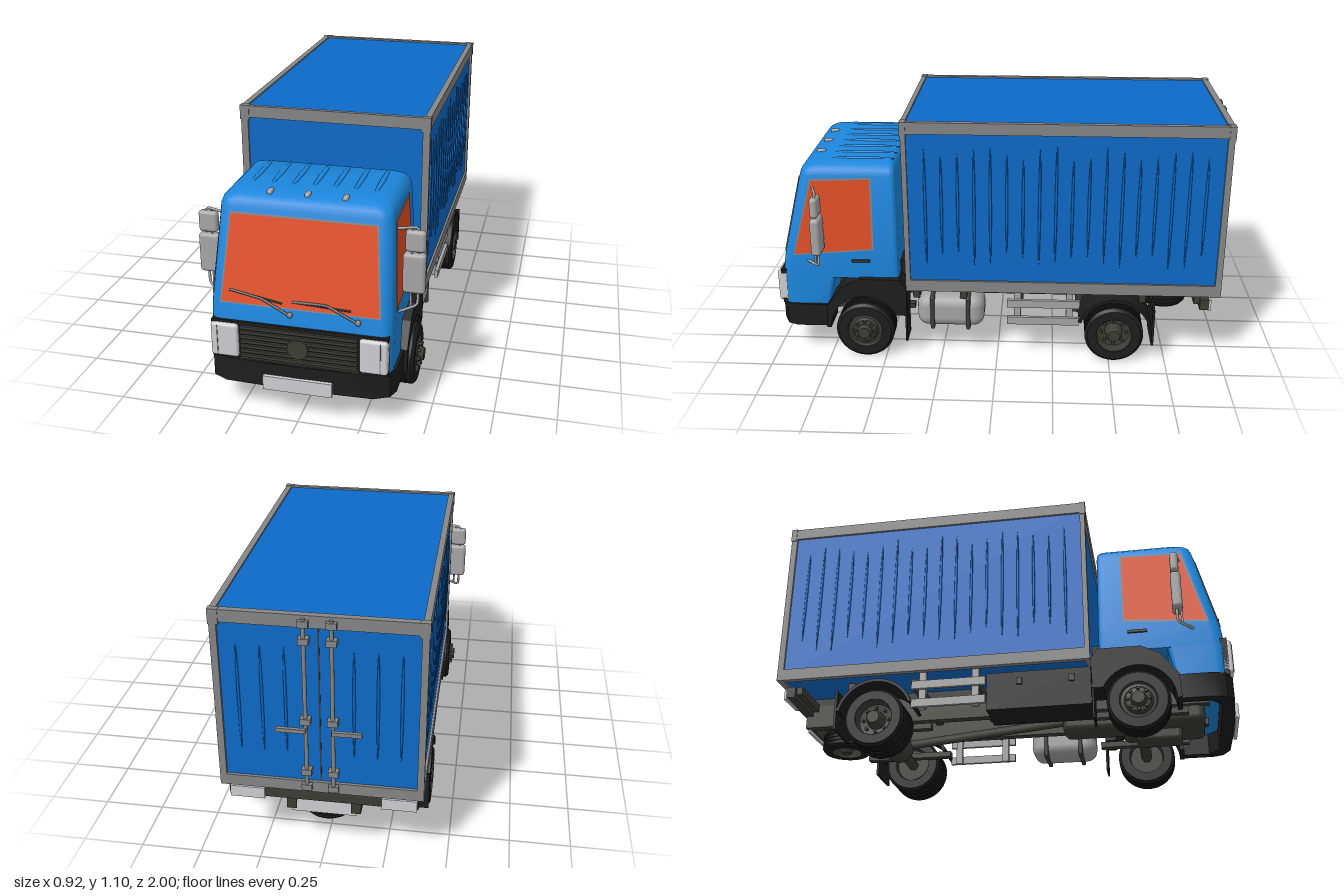
import * as THREE from 'three';
import { toCreasedNormals } from 'three/addons/utils/BufferGeometryUtils.js';
import { RoundedBoxGeometry } from 'three/addons/geometries/RoundedBoxGeometry.js';

export function createModel() {
  const truck = new THREE.Group();
  truck.name = 'boxTruck';
  const material = (name, color, side = THREE.FrontSide) => {
    const m = new THREE.MeshStandardMaterial({ color, side });
    m.name = name;
    return m;
  };
  const cabBlue = material('cabBlue', 0x1c86dc);
  const boxBlue = material('boxBlue', 0x0d6ac8);
  const glass = material('orangeGlass', 0xe04e26, THREE.DoubleSide);
  const grey = material('frameGrey', 0x868686, THREE.DoubleSide);
  const light = material('lightGrey', 0xa6a6a6);
  const white = material('lampWhite', 0xcfcfd2);
  const black = material('plasticBlack', 0x1d1d1d, THREE.DoubleSide);
  const dark = material('chassisDark', 0x3c3d36);

  const add = (name, geo, mat, parent = truck) => {
    const mesh = new THREE.Mesh(geo, mat);
    mesh.name = name;
    parent.add(mesh);
    return mesh;
  };
  // Box given by its extents on each axis
  const bar = (name, mat, x0, x1, y0, y1, z0, z1) => {
    const g = new THREE.BoxGeometry(Math.abs(x1 - x0), Math.abs(y1 - y0), Math.abs(z1 - z0));
    return add(name, g.translate((x0 + x1) / 2, (y0 + y1) / 2, (z0 + z1) / 2), mat);
  };
  const rounded = (name, mat, x0, x1, y0, y1, z0, z1, r) => {
    const g = new RoundedBoxGeometry(Math.abs(x1 - x0), y1 - y0, z1 - z0, 3, r);
    return add(name, g.translate((x0 + x1) / 2, (y0 + y1) / 2, (z0 + z1) / 2), mat);
  };
  const tube = (name, mat, pts, r) => add(name, new THREE.TubeGeometry(
    new THREE.CatmullRomCurve3(pts.map(p => new THREE.Vector3(...p)), false, 'catmullrom', 0.15), 30, r, 6), mat);
  // Slim pressed rib
  const rib = (name, mat, x, y, z, sx, sy, sz) =>
    add(name, new THREE.SphereGeometry(1, 8, 10).scale(sx, sy, sz).translate(x, y, z), mat);
  const plate = (name, mat, p) => {
    const g = new THREE.BufferGeometry();
    g.setAttribute('position', new THREE.Float32BufferAttribute(p.flat(), 3));
    g.setIndex([0, 1, 2, 0, 2, 3]);
    g.computeVertexNormals();
    return add(name, g, mat);
  };
  // Side profile in (z, y), extruded from x1 inwards to x0
  const sideExtrude = (name, mat, shape, x0, x1) => {
    const g = new THREE.ExtrudeGeometry(shape, { depth: x1 - x0, bevelEnabled: false, curveSegments: 20 });
    return add(name, g.rotateY(-Math.PI / 2).translate(x1, 0, 0), mat);
  };
  // Stack of rounded rectangles: [y, front z, back z, half width]
  const loft = (name, mat, sections) => {
    const pos = [], idx = [], n = 5, ring = 4 * (n + 1);
    const signs = [[-1, 1], [1, 1], [1, -1], [-1, -1]];
    for (const [y, zf, zb, hw] of sections) signs.forEach(([sx, sz], c) => {
      const rx = sz > 0 ? 0.045 : 0.02, rz = sz > 0 ? 0.05 : 0.02;
      for (let k = 0; k <= n; k++) {
        const t = Math.PI - (c + k / n) * Math.PI / 2;
        pos.push(sx * (hw - rx) + rx * Math.cos(t), y, (sz > 0 ? zf - rz : zb + rz) + rz * Math.sin(t));
      }
    });
    for (let i = 0; i < sections.length - 1; i++) for (let j = 0; j < ring; j++) {
      const a = i * ring + j, b = i * ring + (j + 1) % ring;
      idx.push(a, b, b + ring, a, b + ring, a + ring);
    }
    const top = (sections.length - 1) * ring;
    for (let j = 1; j < ring - 1; j++) idx.push(0, j + 1, j, top, top + j, top + j + 1);
    const g = new THREE.BufferGeometry();
    g.setAttribute('position', new THREE.Float32BufferAttribute(pos, 3));
    g.setIndex(idx);
    return add(name, toCreasedNormals(g, 0.6), mat);
  };

  // Cab shell and lower nose
  loft('cab', cabBlue, [[0.37, 0.957, 0.435, 0.366], [0.46, 0.945, 0.435, 0.366], [0.84, 0.855, 0.44, 0.343],
    [0.865, 0.845, 0.443, 0.334], [0.882, 0.82, 0.452, 0.314], [0.892, 0.77, 0.468, 0.285]]);
  loft('cabNose', cabBlue, [[0.23, 0.96, 0.75, 0.366], [0.372, 0.957, 0.72, 0.366]]);
  for (let i = -3; i <= 3; i++) rib('roofRib', cabBlue, i * 0.083, 0.89, 0.59, 0.012, 0.009, 0.14);
  for (const x of [-0.15, 0, 0.15]) rounded('roofMarker', light, x - 0.011, x + 0.011, 0.875, 0.898, 0.77, 0.81, 0.008);

  // Windows, lying just off the sloping cab faces
  const frontZ = y => 0.945 - (y - 0.46) * 0.09 / 0.38;
  const sideX = y => 0.366 - (y - 0.46) * 0.023 / 0.38;
  const screen = (o, d) => [[-0.315 - o, 0.475 - o], [0.315 + o, 0.475 - o], [0.287 + o, 0.815 + o], [-0.287 - o, 0.815 + o]]
    .map(([x, y]) => [x, y, frontZ(y) + d]);
  plate('windscreenTrim', grey, screen(0.006, 0.003));
  plate('windscreen', glass, screen(0, 0.006));
  for (const s of [1, -1]) {
    const pane = (o, d) => [[0.89 + o, 0.483 - o], [0.548 - o, 0.513 - o], [0.548 - o, 0.828 + o], [0.8 + o, 0.818 + o]]
      .map(([z, y]) => [s * (sideX(y) + d), y, z]);
    plate('sideWindowTrim', grey, pane(0.007, 0.003));
    plate('sideWindow', glass, pane(0, 0.006));
    bar('doorHandle', dark, s * 0.36, s * 0.375, 0.448, 0.46, 0.56, 0.64);
    // Mirrors on a tube bracket
    tube('mirrorBracket', light, [[s * 0.335, 0.785, 0.8], [s * 0.42, 0.785, 0.77], [s * 0.43, 0.77, 0.77],
      [s * 0.43, 0.47, 0.77], [s * 0.42, 0.455, 0.78], [s * 0.355, 0.45, 0.84]], 0.006);
    tube('mirrorStay', light, [[s * 0.405, 0.78, 0.775], [s * 0.405, 0.46, 0.79]], 0.005);
    rounded('upperMirror', light, s * 0.378, s * 0.458, 0.685, 0.775, 0.755, 0.79, 0.015);
    rounded('lowerMirror', light, s * 0.37, s * 0.46, 0.512, 0.68, 0.752, 0.795, 0.015);
    rounded('headlight', white, s * 0.243, s * 0.355, 0.246, 0.39, 0.91, 0.98, 0.012);
    bar('headlightDivider', grey, s * 0.325, s * 0.329, 0.255, 0.382, 0.975, 0.983);
  }

  // Wipers
  for (const [px, tip, mid] of [[-0.035, -0.28, -0.15], [0.235, -0.03, 0.11]]) {
    const tipY = tip < -0.1 ? 0.525 : 0.5;
    tube('wiperArm', grey, [[px, 0.45, 0.96], [mid, 0.505, 0.95], [tip, tipY, 0.94]], 0.005);
    tube('wiperBlade', dark, [[tip, tipY, 0.94], [px - 0.03, 0.49, 0.945]], 0.004);
    add('wiperPivot', new THREE.SphereGeometry(0.012, 10, 8).translate(px, 0.45, 0.955), grey);
  }

  // Grille with slats and a plain round boss
  bar('grilleSurround', black, -0.355, 0.355, 0.235, 0.4, 0.9, 0.963);
  for (let i = 0; i < 7; i++) bar('grilleSlat', dark, -0.235, 0.235, 0.25 + i * 0.0205, 0.262 + i * 0.0205, 0.955, 0.973);
  add('grilleBoss', new THREE.CylinderGeometry(0.042, 0.042, 0.02, 28).rotateX(Math.PI / 2).translate(0, 0.315, 0.972), dark);

  // Wraparound bumper, open at the back
  const u = new THREE.Shape([[-0.378, -0.76], [-0.378, -0.9], [-0.36, -0.945], [-0.3, -0.975], [0, -0.985], [0.3, -0.975],
    [0.36, -0.945], [0.378, -0.9], [0.378, -0.76], [0.33, -0.76], [0.33, -0.88], [0.28, -0.925], [-0.28, -0.925],
    [-0.33, -0.88], [-0.33, -0.76]].map(p => new THREE.Vector2(...p)));
  add('bumper', toCreasedNormals(new THREE.ExtrudeGeometry(u, { depth: 0.105, bevelEnabled: false })
    .rotateX(-Math.PI / 2).translate(0, 0.135, 0), 0.6), black);
  bar('bumperStep', dark, -0.24, 0.24, 0.215, 0.245, 0.94, 0.975);
  bar('frontPlate', white, -0.14, 0.14, 0.13, 0.19, 0.983, 0.998);

  // Cargo box
  bar('cargoBox', boxBlue, -0.392, 0.392, 0.338, 1.093, -0.96, 0.39);
  for (const s of [1, -1]) {
    for (const [y0, y1] of [[0.33, 0.382], [1.05, 1.1]]) bar('sideRail', grey, s * 0.377, s * 0.402, y0, y1, -0.972, 0.4);
    bar('frontPost', grey, s * 0.372, s * 0.402, 0.33, 1.1, 0.378, 0.4);
    bar('rearPost', grey, s * 0.375, s * 0.402, 0.33, 1.1, -0.972, -0.945);
    for (const z of [0.39, -0.962]) bar('cornerCap', grey, s * 0.366, s * 0.405, 1.04, 1.102, z - 0.013, z + 0.013);
    for (let i = 0; i < 18; i++) {
      const tall = [1, 0, 0, 1][i % 4];
      rib('sideRib', boxBlue, s * 0.392, 0.72 + 0.01 * (i % 3), 0.305 - i * 0.0695, 0.007, tall ? 0.265 : 0.225, 0.006);
    }
    // Rear doors with lock bars
    for (const x of [0.13, 0.22, 0.31]) rib('doorRib', boxBlue, s * x, 0.73, -0.96, 0.006, 0.23, 0.007);
    add('lockBar', new THREE.CylinderGeometry(0.008, 0.008, 0.75, 10).translate(s * 0.052, 0.715, -0.978), grey);
    for (const y of [0.36, 0.43, 0.66, 1.0, 1.07]) bar('lockBracket', grey, s * 0.032, s * 0.072, y - 0.013, y + 0.013, -0.99, -0.955);
    bar('lockHandle', grey, s * 0.05, s * 0.165, 0.615, 0.632, -1, -0.986);
  }
  for (const [z0, z1] of [[0.38, 0.4], [-0.972, -0.945]]) for (const [y0, y1] of [[0.33, 0.378], [1.05, 1.1]])
    bar('endRail', grey, -0.38, 0.38, y0, y1, z0, z1);
  bar('doorGap', dark, -0.003, 0.003, 0.38, 1.05, -0.963, -0.955);

  // Chassis frame
  for (const s of [1, -1]) {
    bar('chassisRail', dark, s * 0.11, s * 0.15, 0.2, 0.305, -0.92, 0.88);
    bar('subframe', black, s * 0.115, s * 0.145, 0.305, 0.34, -0.92, 0.38);
    for (const z of [0.59, -0.52]) bar('leafSpring', dark, s * 0.17, s * 0.205, 0.14, 0.165, z - 0.2, z + 0.2);
  }
  for (const z of [-0.88, -0.64, -0.36, -0.1, 0.15, 0.36]) bar('crossMember', dark, -0.36, 0.36, 0.275, 0.31, z - 0.015, z + 0.015);
  rounded('engine', dark, -0.13, 0.13, 0.13, 0.4, 0.5, 0.86, 0.03);
  rounded('oilPan', dark, -0.055, 0.055, 0.08, 0.16, 0.56, 0.76, 0.02);
  rounded('gearbox', dark, -0.07, 0.07, 0.14, 0.28, 0.24, 0.52, 0.03);
  tube('driveShaft', dark, [[0, 0.21, 0.25], [0, 0.14, -0.5]], 0.02);
  bar('airIntake', black, -0.3, 0.3, 0.3, 0.43, 0.402, 0.436);

  // Equipment along the sides
  bar('batteryBox', black, -0.385, -0.2, 0.135, 0.3, -0.04, 0.4);
  for (const z of [0.1, 0.32]) bar('batteryLatch', dark, -0.395, -0.383, 0.24, 0.27, z - 0.012, z + 0.012);
  rounded('fuelTank', light, 0.21, 0.37, 0.13, 0.28, 0.06, 0.36, 0.05);
  for (const z of [0.13, 0.29]) rounded('tankStrap', dark, 0.205, 0.375, 0.125, 0.285, z - 0.01, z + 0.01, 0.009);
  for (const s of [1, -1]) {
    for (const y of [0.187, 0.27]) bar('sideGuard', light, s * 0.375, s * 0.39, y - 0.018, y + 0.018, -0.365, -0.045);
    for (const z of [-0.09, -0.32]) bar('guardPost', light, s * 0.355, s * 0.376, 0.165, 0.335, z - 0.015, z + 0.015);
  }

  // Wheel arches and mud flaps
  const arch = new THREE.Shape([[0.765, 0.135], [0.76, 0.24], [0.69, 0.335], [0.61, 0.375], [0.43, 0.375], [0.4, 0.33], [0.405, 0.2]]
    .map(p => new THREE.Vector2(...p)));
  arch.lineTo(0.44, 0.2);
  arch.absarc(0.59, 0.135, 0.155, 2.7, 0, true);
  const guard = new THREE.Shape();
  guard.absarc(-0.52, 0.135, 0.17, 0.35, Math.PI - 0.2, false);
  guard.absarc(-0.52, 0.135, 0.157, Math.PI - 0.2, 0.35, true);
  for (const s of [1, -1]) {
    sideExtrude('frontArch', black, arch, s > 0 ? 0.25 : -0.392, s > 0 ? 0.392 : -0.25);
    sideExtrude('rearFender', black, guard, s > 0 ? 0.225 : -0.405, s > 0 ? 0.405 : -0.225);
    bar('frontFlap', black, s * 0.28, s * 0.39, 0.07, 0.22, 0.402, 0.41);
    bar('rearFlap', black, s * 0.22, s * 0.405, 0.085, 0.26, -0.695, -0.685);
  }

  // Wheels, turned about the x axis
  const lathe = pts => toCreasedNormals(new THREE.LatheGeometry(pts.map(p => new THREE.Vector2(...p)), 36).rotateZ(-Math.PI / 2), 0.5);
  const tyre = w => {
    const h = w / 2, pts = [[0.078, -h], [0.118, -h], [0.13, -h + 0.012]];
    for (const k of [-0.4, 0, 0.4]) pts.push([0.13, k * h - 0.004], [0.125, k * h - 0.003], [0.125, k * h + 0.003], [0.13, k * h + 0.004]);
    return lathe([...pts, [0.13, h - 0.012], [0.118, h], [0.078, h]]);
  };
  const frontRim = [[0, -0.02], [0.074, -0.02], [0.08, -0.052], [0.08, 0.055], [0.073, 0.04], [0.06, 0.042], [0.052, 0.055], [0.034, 0.058], [0.026, 0.08], [0, 0.08]];
  const rearRim = [[0, -0.02], [0.074, -0.02], [0.08, -0.046], [0.08, 0.048], [0.073, 0], [0.04, -0.004], [0.034, 0.035], [0.026, 0.05], [0, 0.05]];
  const wheel = (name, z, s, front) => {
    const g = new THREE.Group();
    g.name = name;
    g.position.set(0, 0.13, z);
    g.rotation.y = s > 0 ? 0 : Math.PI;
    truck.add(g);
    const x = front ? 0.355 : 0.36;
    add('tyre', tyre(front ? 0.11 : 0.09), black, g).position.x = x;
    add('rim', lathe(front ? frontRim : rearRim), dark, g).position.x = x;
    if (!front) add('innerTyre', tyre(0.085), black, g).position.x = 0.268;
    if (!front) add('innerRim', lathe(rearRim.slice(0, 4).concat([[0, 0.03]])), dark, g).position.x = 0.268;
    for (let i = 0; i < 8; i++) {
      const a = i * Math.PI / 4, r = front ? 0.045 : 0.055;
      add('wheelNut', new THREE.CylinderGeometry(0.007, 0.007, 0.03, 6).rotateZ(Math.PI / 2), grey === null ? grey : dark, g)
        .position.set(x + (front ? 0.055 : 0.005), r * Math.cos(a), r * Math.sin(a));
    }
  };
  for (const s of [1, -1]) {
    wheel('frontWheel', 0.59, s, true);
    wheel('rearWheel', -0.52, s, false);
  }
  for (const z of [0.59, -0.52]) tube('axle', dark, [[-0.32, 0.13, z], [0.32, 0.13, z]], 0.025);
  add('differential', new THREE.SphereGeometry(0.065, 18, 12).translate(0, 0.13, -0.52), dark);

  // Spare wheel lying under the tail
  add('spareTyre', tyre(0.085).scale(1, 0.85, 0.85).rotateZ(Math.PI / 2).translate(0, 0.165, -0.77), black);
  add('spareRim', lathe(rearRim).scale(0.9, 0.85, 0.85).rotateZ(-Math.PI / 2).translate(0, 0.165, -0.77), dark);

  // Tail beam with lamps and plate
  bar('tailBeam', dark, -0.38, 0.38, 0.255, 0.305, -0.93, -0.89);
  for (const s of [1, -1]) bar('tailLamp', white, s * 0.235, s * 0.375, 0.25, 0.3, -0.94, -0.925);
  bar('rearPlate', white, -0.13, 0.13, 0.185, 0.25, -0.915, -0.905);
  bar('plateBracket', dark, -0.1, 0.1, 0.2, 0.27, -0.905, -0.895);

  return truck;
}
